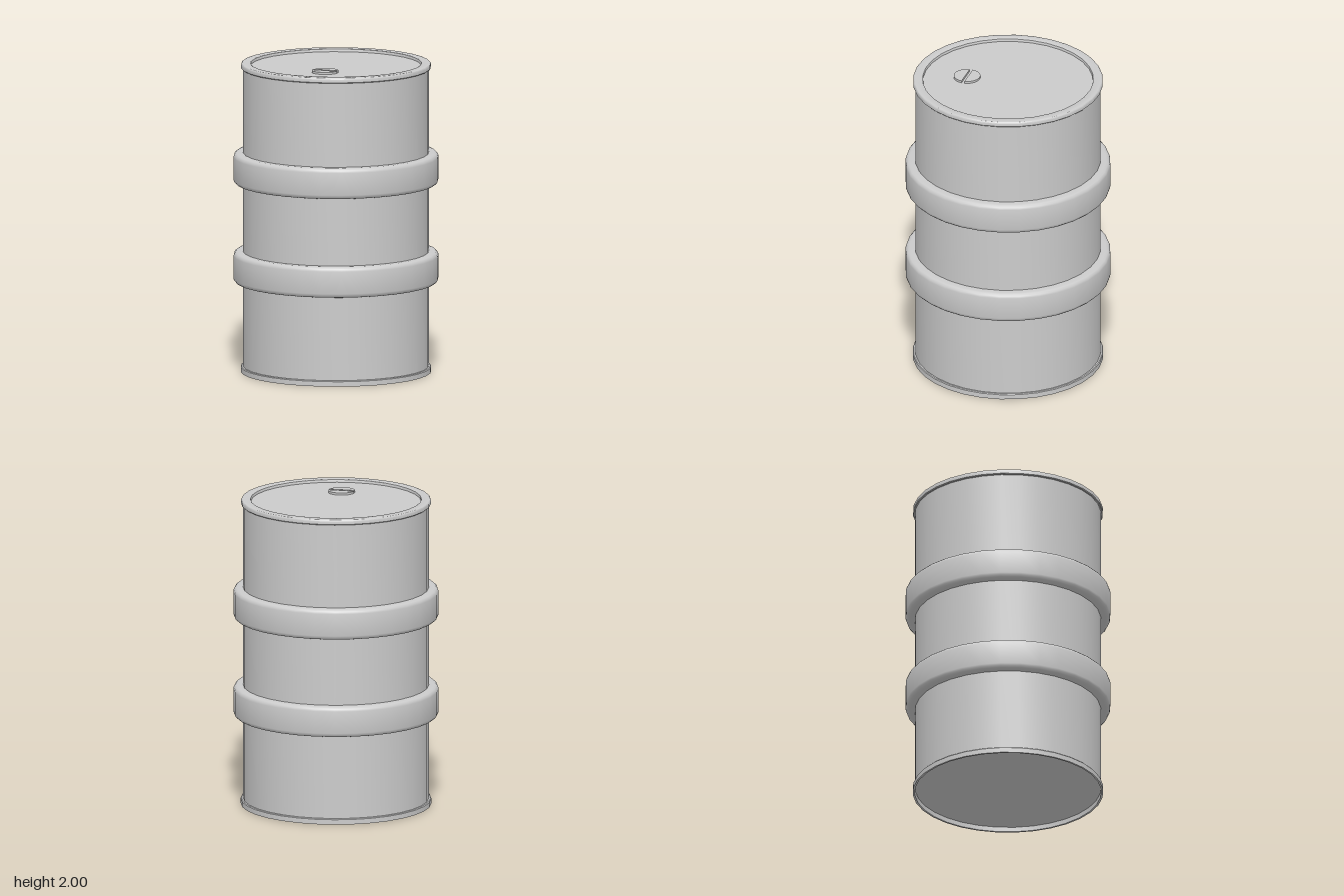
import * as THREE from 'three';
import { toCreasedNormals } from 'three/addons/utils/BufferGeometryUtils.js';

const SIDES = 32;
const material = new THREE.MeshStandardMaterial({ color: 0xcccccc });

// Revolve a [radius, y] profile; profiles run up the outside and in over the top
function revolve(name, profile) {
  const points = profile.map(([r, y]) => new THREE.Vector2(r, y));
  const geometry = toCreasedNormals(new THREE.LatheGeometry(points, SIDES), 0.6);
  const mesh = new THREE.Mesh(geometry, material);
  mesh.name = name;
  return mesh;
}

// Quarter-circle corner of a profile, around (r, y), from angle a0
function corner(r, y, radius, a0, steps = 3) {
  return Array.from({ length: steps + 1 }, (_, i) => {
    const a = a0 + (i / steps) * Math.PI / 2;
    return [r + radius * Math.cos(a), y + radius * Math.sin(a)];
  });
}

// Rounded hoop around the barrel
function hoop(name, y0, y1) {
  const R = 0.657, c = 0.028;
  return revolve(name, [
    [0.58, y0],
    ...corner(R - c, y0 + c, c, -Math.PI / 2),
    ...corner(R - c, y1 - c, c, 0),
    [0.58, y1],
  ]);
}

// Round plug split by a straight slot
function createPlug() {
  const plug = new THREE.Group();
  plug.name = 'plug';
  const R = 0.085, gap = 0.01, a = Math.asin(gap / R);
  const half = new THREE.Shape();
  half.absarc(0, 0, R, a, Math.PI - a, false);
  half.closePath();
  const geometry = new THREE.ExtrudeGeometry(half, { depth: 0.014, bevelEnabled: false, curveSegments: 16 });
  geometry.rotateX(-Math.PI / 2);
  for (const side of [0, 1]) {
    const mesh = new THREE.Mesh(geometry, material);
    mesh.name = side ? 'plugHalfFront' : 'plugHalfBack';
    mesh.rotation.y = side * Math.PI;
    plug.add(mesh);
  }
  plug.position.set(0.165, 1.98, 0.21);
  plug.rotation.y = 0.55;
  return plug;
}

export function createModel() {
  const barrel = new THREE.Group();
  barrel.name = 'barrel';

  // Body with recessed base and lid
  barrel.add(revolve('body', [[0, 0.03], [0.595, 0.03], [0.595, 1.97]]));
  barrel.add(revolve('lid', [[0.56, 1.98], [0, 1.98]]));

  // Thin lip under the base
  barrel.add(revolve('bottomRim', [
    [0.597, 0.035], [0.597, 0], [0.61, 0], [0.61, 0.032], [0.605, 0.037], [0.59, 0.037],
  ]));

  // Rounded lip around the lid
  barrel.add(revolve('topRim', [
    [0.59, 1.965], [0.603, 1.965], [0.608, 1.97],
    ...corner(0.598, 1.99, 0.01, 0),
    [0.552, 2], [0.547, 1.997], [0.545, 1.992], [0.545, 1.978],
  ]));

  barrel.add(hoop('lowerHoop', 0.58, 0.78));
  barrel.add(hoop('upperHoop', 1.22, 1.42));
  barrel.add(createPlug());
  return barrel;
}
